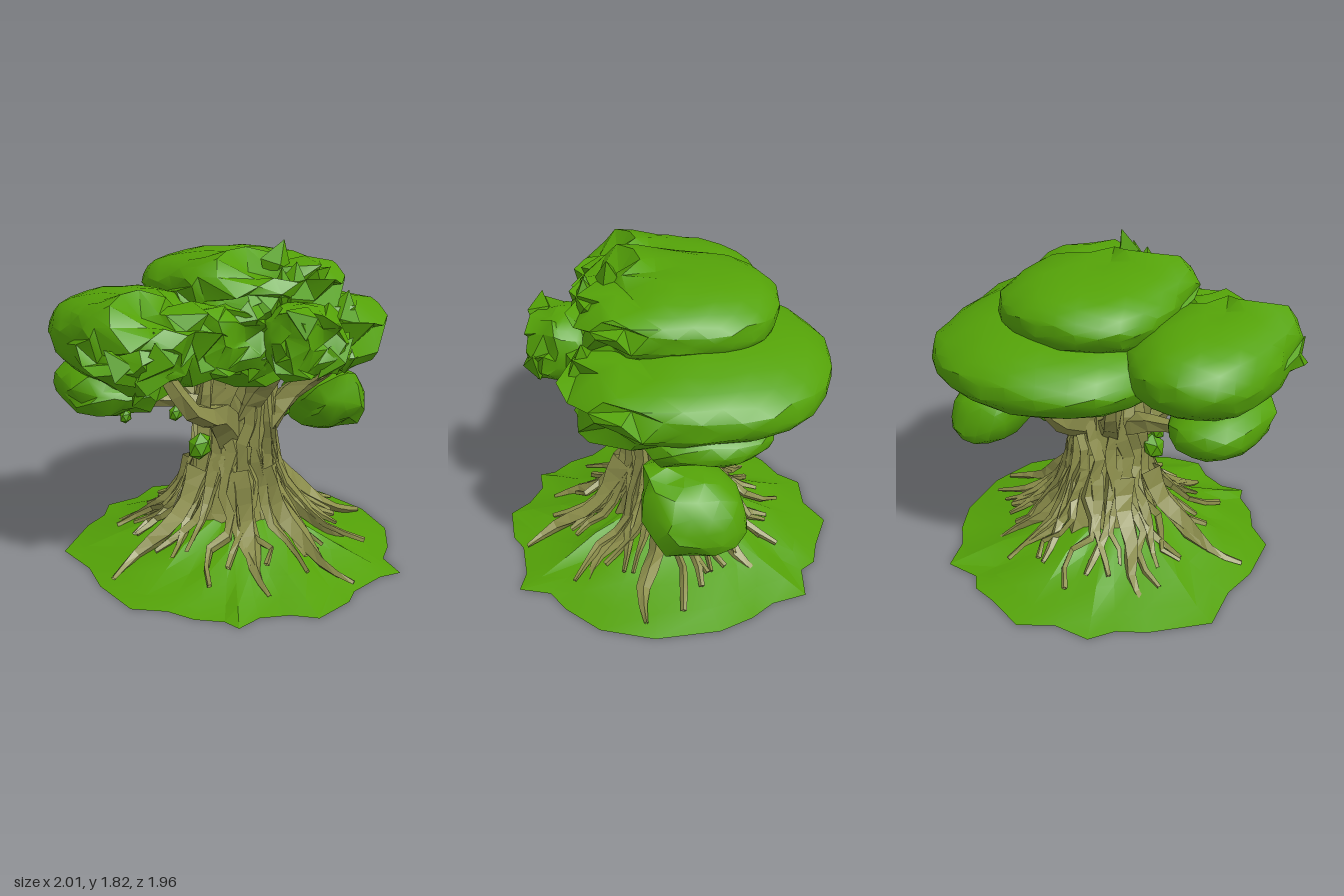
import * as THREE from 'three';
import { toCreasedNormals, mergeGeometries } from 'three/addons/utils/BufferGeometryUtils.js';

const leafGreen = new THREE.MeshStandardMaterial({ color: 0x54a208, side: THREE.DoubleSide });
const barkOlive = new THREE.MeshStandardMaterial({ color: 0x8c8e4b, side: THREE.DoubleSide });

let seed = 7;
const rand = () => (seed = (seed * 16807) % 2147483647) / 2147483647;
const spread = (a) => (rand() - 0.5) * 2 * a;
const { lerp, smoothstep } = THREE.MathUtils;

// Position-based noise in -1..1, equal for coincident vertices
const hash = (x, y, z, k) => {
  const r = (v) => Math.round(v * 500);
  const s = Math.sin(r(x) * 12.9898 + r(y) * 78.233 + r(z) * 37.719 + k * 11.13) * 43758.5453;
  return (s - Math.floor(s)) * 2 - 1;
};

const flat = (g) => {
  const out = g.index ? g.toNonIndexed() : g;
  out.computeVertexNormals();
  return out;
};

function addMesh(group, name, geometry, material) {
  const mesh = new THREE.Mesh(geometry, material);
  mesh.name = name;
  group.add(mesh);
}

// Rounded foliage mass: smooth at the back, boxier and ragged at the front
function foliage({ center, radii, power = 2.2, rough = 0.055, tufts = 0, detail = 4, lean = [0, 0] }) {
  const place = (x, y, z) => {
    const e = lerp(power, power + 0.8, smoothstep(z, -0.3, 0.5));
    const n = Math.pow(Math.abs(x) ** e + Math.abs(y) ** e + Math.abs(z) ** e, -1 / e);
    return [
      center[0] + radii[0] * x * n + lean[0] * y * n,
      center[1] + radii[1] * y * n,
      center[2] + radii[2] * z * n + lean[1] * y * n];
  };
  const g = new THREE.IcosahedronGeometry(1, detail);
  const p = g.attributes.position;
  for (let i = 0; i < p.count; i++) {
    const x = p.getX(i), y = p.getY(i), z = p.getZ(i);
    const front = lerp(0.008, rough, smoothstep(z, 0.1, 0.5));
    p.setXYZ(i, ...place(x, y, z).map((v, k) => v + hash(x, y, z, k) * front));
  }
  const parts = [g];
  // Angular leaf tufts sunk into the front face
  for (let i = 0; i < tufts; i++) {
    const a = rand() * Math.PI * 2, r = Math.sqrt(rand()) * 0.8;
    const t = new THREE.OctahedronGeometry(0.1 + rand() * 0.06, 0);
    t.scale(1.2, 0.8, 0.6);
    t.rotateX(spread(1));
    t.rotateZ(spread(1.5));
    const q = place(Math.cos(a) * r, Math.sin(a) * r, Math.sqrt(1 - r * r));
    t.translate(...q.map((v, k) => lerp(center[k], v, 0.92)));
    parts.push(t);
  }
  const merged = mergeGeometries(parts);
  merged.deleteAttribute('uv');
  return toCreasedNormals(merged, 0.55);
}

// Tapered, angular limb through a list of points
function limb(points, r0, r1, sides = 4, jitter = 0.28) {
  const curve = new THREE.CatmullRomCurve3(points.map((q) => new THREE.Vector3(...q)));
  const seg = Math.round(points.length * 1.5);
  const g = new THREE.TubeGeometry(curve, seg, 1, sides, false);
  const p = g.attributes.position, v = new THREE.Vector3();
  for (let i = 0; i <= seg; i++) {
    const c = curve.getPointAt(i / seg);
    const r = lerp(r0, r1, i / seg);
    for (let j = 0; j <= sides; j++) {
      const k = i * (sides + 1) + j;
      v.fromBufferAttribute(p, k).sub(c);
      v.multiplyScalar(r * (1 + jitter * Math.sin(i * 5.1 + (j % sides) * 2.7 + points[0][0] * 90))).add(c);
      p.setXYZ(k, v.x, v.y, v.z);
    }
  }
  return flat(g);
}

const moundHeight = (r) => 0.37 * Math.pow(Math.max(0, 1 - r), 1.25);

// Grass mound: rings shrinking from a ragged outline to the crown
function mound() {
  const outline = [
    [0.96, 0.05], [0.9, 0.35], [0.75, 0.55], [0.63, 0.65], [0.6, 0.83], [0.47, 0.81], [0.25, 0.86],
    [0.16, 0.93], [-0.07, 0.98], [-0.18, 0.88], [-0.33, 0.82], [-0.47, 0.85], [-0.5, 0.76], [-0.62, 0.66],
    [-0.7, 0.52], [-0.85, 0.4], [-0.89, 0.1], [-0.86, -0.12], [-0.9, -0.39], [-0.65, -0.64], [-0.5, -0.73],
    [-0.41, -0.86], [-0.2, -0.87], [-0.03, -0.98], [0.2, -0.9], [0.35, -0.87], [0.42, -0.79], [0.62, -0.79],
    [0.69, -0.6], [0.8, -0.48], [0.9, -0.3]];
  const n = outline.length, scales = [1, 0.86, 0.68, 0.5, 0.3, 0], pos = [], idx = [];
  scales.forEach((s, i) => outline.forEach(([x, z], j) => {
    const bump = i && i < 5 ? 0.012 * Math.sin(j * 2.3 + i * 1.7) : 0;
    pos.push(x * s, i ? moundHeight(s) + bump : 0, z * s);
    if (i === scales.length - 1) return;
    const a = i * n + j, b = i * n + (j + 1) % n;
    idx.push(a, a + n, b, b, a + n, b + n);
  }));
  // Underside
  const c = pos.length / 3;
  pos.push(0, 0, 0);
  for (let j = 0; j < n; j++) idx.push(c, j, (j + 1) % n);
  const g = new THREE.BufferGeometry();
  g.setAttribute('position', new THREE.Float32BufferAttribute(pos, 3));
  g.setIndex(idx);
  return toCreasedNormals(g, 0.4);
}

export function createModel() {
  seed = 7;
  const tree = new THREE.Group();
  tree.name = 'tree';
  addMesh(tree, 'grassMound', mound(), leafGreen);

  // Trunk core with ridged sides
  const profile = [[0.34, 0.15], [0.29, 0.28], [0.25, 0.42], [0.215, 0.6], [0.2, 0.8], [0.2, 1.0], [0.17, 1.2]];
  const core = new THREE.LatheGeometry(profile.map((q) => new THREE.Vector2(...q)), 18);
  const cp = core.attributes.position;
  for (let i = 0; i < cp.count; i++) {
    const a = Math.atan2(cp.getZ(i), cp.getX(i));
    const k = 1 + 0.07 * Math.sin(a * 7 + cp.getY(i) * 3) + 0.05 * Math.sin(a * 11);
    cp.setXYZ(i, cp.getX(i) * k + 0.04, cp.getY(i), cp.getZ(i) * k - 0.01);
  }
  addMesh(tree, 'trunk', flat(core), barkOlive);

  // Strands that run down the trunk, flare out into roots and fork
  const roots = [];
  const count = 17;
  for (let i = 0; i < count; i++) {
    const a = (i / count) * Math.PI * 2 + spread(0.1);
    const reach = i % 2 ? 0.52 + rand() * 0.1 : 0.66 + rand() * 0.14;
    const at = (r, y, turn = 0) => [0.03 + Math.cos(a + turn) * r, y, Math.sin(a + turn) * r];
    const w = spread(0.32);
    const ground = (r) => moundHeight(r) + 0.01;
    roots.push(limb([
      at(0.17, 1.12, -w), at(0.195, 0.88, w), at(0.21, 0.64, -w * 0.3), at(0.27, 0.44, w * 0.6),
      at(0.39, 0.26, -w * 0.4), at(0.52, ground(0.52) + 0.015, w * 0.6), at(reach, ground(reach), w * 0.2),
    ], 0.064, 0.014));
    const s = i % 2 ? 0.3 : -0.3;
    roots.push(limb([at(0.18, 0.66, -s * 0.3), at(0.26, 0.43, s * 0.1), at(0.37, 0.27, s * 0.4),
      at(0.48, ground(0.48) + 0.01, s * 0.8), at(0.6, ground(0.6), s)], 0.058, 0.014));
  }
  // Long surface roots
  for (const [x, z] of [[-0.82, 0.12], [0.88, 0.1], [0.27, 0.83], [-0.2, 0.72], [0.5, -0.55], [-0.55, -0.5], [0.6, 0.45]]) {
    roots.push(limb([[x * 0.27, 0.52, z * 0.27], [x * 0.4, 0.35, z * 0.4], [x * 0.56, 0.22, z * 0.56],
      [x * 0.8 - z * 0.05, 0.1, z * 0.8 + x * 0.05], [x, 0.035, z]], 0.085, 0.014));
  }
  addMesh(tree, 'roots', mergeGeometries(roots), barkOlive);

  // Branches rising into the foliage
  const branches = [
    [[[-0.08, 0.74, 0.1], [-0.24, 0.9, 0.24], [-0.44, 0.98, 0.38], [-0.63, 1.24, 0.4]], 0.1, 0.035],
    [[[-0.36, 0.95, 0.3], [-0.36, 1.08, 0.34], [-0.34, 1.28, 0.34]], 0.05, 0.025],
    [[[-0.1, 0.82, -0.05], [-0.35, 0.93, -0.1], [-0.55, 0.95, -0.1], [-0.8, 1.03, -0.08]], 0.07, 0.02],
    [[[0.16, 0.78, 0.12], [0.3, 0.96, 0.2], [0.42, 1.08, 0.3], [0.6, 1.2, 0.36]], 0.09, 0.03],
    [[[0.36, 1.03, 0.25], [0.5, 1.09, 0.3], [0.62, 1.1, 0.3]], 0.04, 0.015],
    [[[0.36, 1.03, 0.25], [0.47, 1.12, 0.36], [0.45, 1.25, 0.42]], 0.04, 0.02],
    [[[0.18, 0.7, -0.05], [0.36, 0.79, -0.08], [0.5, 0.84, -0.12], [0.72, 0.78, -0.16]], 0.09, 0.025],
    [[[0.02, 0.85, 0.12], [0.03, 1.0, 0.22], [0.08, 1.22, 0.45]], 0.09, 0.04],
    [[[0.05, 0.82, -0.12], [0.1, 0.93, -0.36], [0.15, 1.2, -0.56]], 0.09, 0.03],
    [[[-0.06, 0.82, -0.12], [-0.18, 0.98, -0.28], [-0.24, 1.22, -0.36]], 0.08, 0.03],
    [[[0.18, 0.85, -0.1], [0.38, 1.0, -0.22], [0.58, 1.15, -0.3]], 0.08, 0.03],
  ];
  addMesh(tree, 'branches', mergeGeometries(branches.map(([pts, a, b]) => limb(pts, a, b, 5, 0.2))), barkOlive);

  // Foliage masses
  const masses = {
    mainFoliage: { center: [0.21, 1.285, -0.18], radii: [0.68, 0.225, 0.685], rough: 0.06, tufts: 10 },
    topFoliage: { center: [0.06, 1.55, -0.06], radii: [0.475, 0.185, 0.53], power: 2.35, tufts: 5 },
    leftFoliage: { center: [-0.61, 1.355, 0], radii: [0.385, 0.225, 0.52], power: 2.3, tufts: 6 },
    frontFoliage: { center: [0.1, 1.34, 0.53], radii: [0.21, 0.19, 0.19], detail: 3, rough: 0.04, tufts: 2 },
    frontLeftFoliage: { center: [-0.22, 1.35, 0.3], radii: [0.26, 0.19, 0.2], detail: 3, rough: 0.04, tufts: 2 },
    lowerLeftFoliage: { center: [-0.73, 1.07, -0.12], radii: [0.235, 0.15, 0.31], detail: 2, rough: 0.035 },
    lowerRightFoliage: { center: [0.59, 1.12, -0.22], radii: [0.27, 0.125, 0.33], detail: 2, rough: 0.03 },
    sideFoliage: { center: [0.755, 0.745, -0.155], radii: [0.22, 0.205, 0.25], power: 2.5, detail: 2,
      rough: 0.035, lean: [-0.03, 0.06] },
  };
  for (const [name, spec] of Object.entries(masses)) addMesh(tree, name, foliage(spec), leafGreen);

  // Small hanging leaf clumps
  for (const [x, y, z, s] of [[-0.24, 0.67, 0.06, 0.085], [-0.33, 0.85, -0.05, 0.05], [0.43, 0.73, -0.08, 0.045], [-0.68, 0.92, 0.05, 0.04]]) {
    const g = new THREE.IcosahedronGeometry(s, 0);
    g.scale(0.8, 1, 0.8);
    g.rotateZ(-0.5);
    g.translate(x, y, z);
    addMesh(tree, 'hangingLeaves', flat(g), leafGreen);
  }
  return tree;
}
